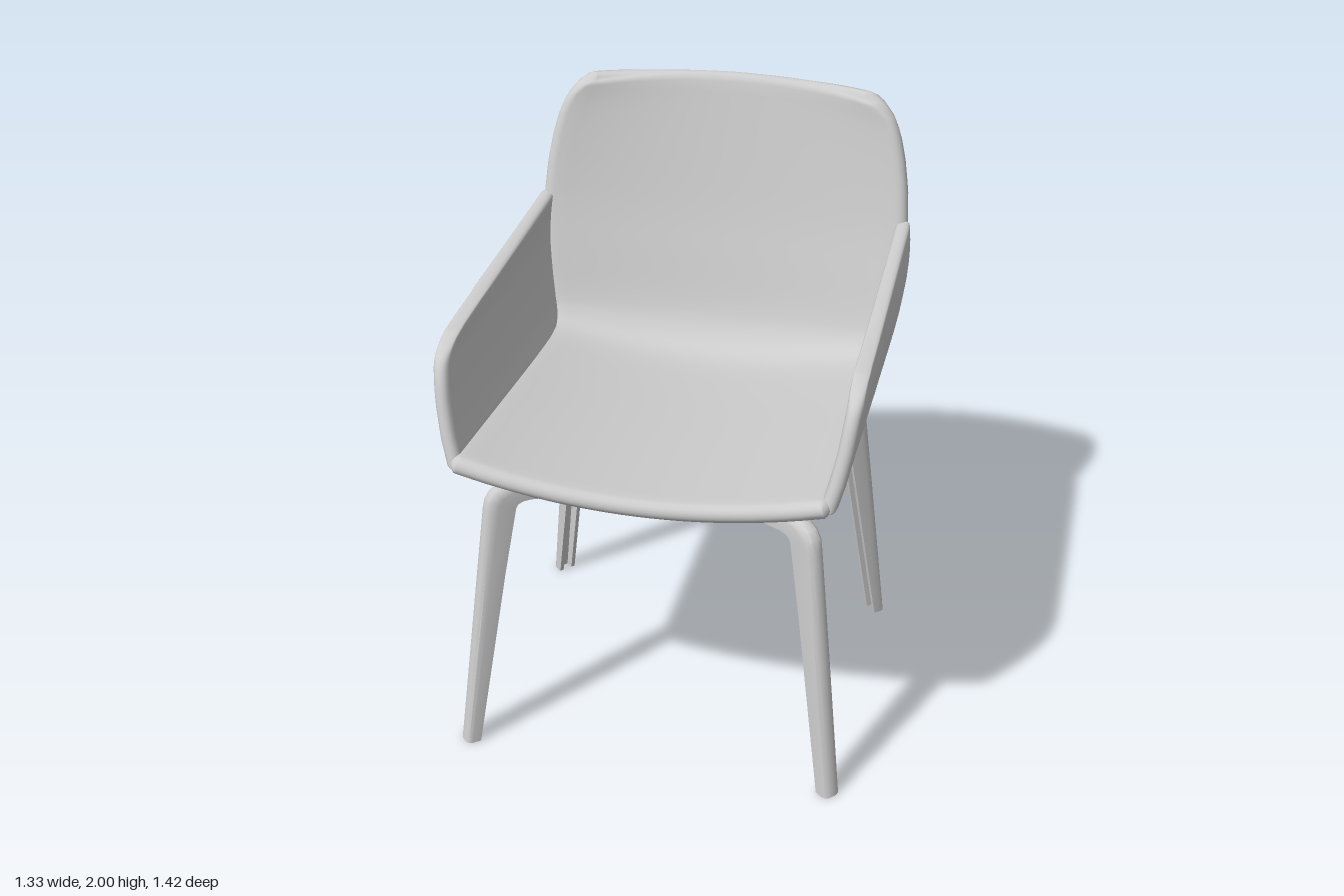
import * as THREE from 'three';
import { mergeVertices, toCreasedNormals } from 'three/addons/utils/BufferGeometryUtils.js';

const V2 = (p) => new THREE.Vector2(p[0], p[1]);
const spline = (pts) => new THREE.SplineCurve(pts.map(V2));

// Linear look-up in a table of [position, value]
function lookup(table, u) {
  let i = 1;
  while (i < table.length - 1 && u > table[i][0]) i++;
  const [a, va] = table[i - 1], [b, vb] = table[i];
  return va + (vb - va) * (u - a) / (b - a);
}

// Parameter steps, packed close together within r of both ends
function steps(length, r, n) {
  const edge = [0, 0.05, 0.2, 0.5, 1].map((k) => k * r / length);
  const inner = [];
  for (let i = 1; i < n; i++) inner.push(edge[4] + (1 - 2 * edge[4]) * i / n);
  return [...edge, ...inner, ...edge.map((e) => 1 - e).reverse()];
}

// Padded sheet with round edges, built around the middle surface point(u, v)
function slab(point, lu, lv, nu, nv, h) {
  const us = steps(lu, h, nu), vs = steps(lv, h, nv);
  const pos = [], index = [], e = 0.002;
  for (const side of [1, -1]) {
    const base = pos.length / 3;
    us.forEach((u, i) => vs.forEach((v, j) => {
      const u0 = Math.max(0, u - e), u1 = Math.min(1, u + e);
      const v0 = Math.max(0, v - e), v1 = Math.min(1, v + e);
      const du = point(u1, v).sub(point(u0, v));
      const dv = point(u, v1).sub(point(u, v0));
      const n = du.cross(dv).normalize();
      const d = Math.max(0, Math.min(u * lu, (1 - u) * lu, v * lv, (1 - v) * lv, h));
      const p = point(u, v).addScaledVector(n, side * Math.sqrt(h * h - (h - d) ** 2));
      pos.push(p.x, p.y, p.z);
      if (!i || !j) return;
      const c = base + i * vs.length + j, b = c - vs.length, a = b - 1, f = c - 1;
      if (side > 0) index.push(a, f, c, a, c, b);
      else index.push(a, c, f, a, b, c);
    }));
  }
  let g = new THREE.BufferGeometry();
  g.setAttribute('position', new THREE.Float32BufferAttribute(pos, 3));
  g.setIndex(index);
  g = mergeVertices(g, 1e-5);
  g.computeVertexNormals();
  return g;
}

// Seat and back: one sheet following a side profile (z, y), dished across its width
function shellGeometry() {
  const profile = spline([[0.71, 1.05], [0.3, 1.035], [-0.1, 1.022], [-0.31, 1.025], [-0.41, 1.058],
    [-0.47, 1.12], [-0.505, 1.2], [-0.55, 1.37], [-0.6, 1.57], [-0.69, 2.0]]);
  profile.arcLengthDivisions = 600;
  const width = [[0, 0.575], [0.008, 0.592], [0.02, 0.6], [0.48, 0.6], [0.6, 0.625], [0.72, 0.647],
    [0.79, 0.65], [0.85, 0.64], [0.9, 0.622], [0.94, 0.6], [0.965, 0.576], [0.983, 0.545], [0.994, 0.51], [1, 0.47]];
  return slab((u, v) => {
    const a = 1 - 2 * v;
    const s = u * (1 - 0.017 * a * a);
    const c = profile.getPointAt(s), t = profile.getTangentAt(s);
    const lift = 0.08 * a * a;
    return new THREE.Vector3(a * lookup(width, u), c.y - t.x * lift, c.x + t.y * lift);
  }, 2.06, 1.2, 56, 24, 0.031);
}

// Armrest panel: ruled from its front edge to its back edge, leaning outward
function armGeometry(side) {
  const front = spline([[0.69, 1.11], [0.66, 1.25], [0.625, 1.38], [0.58, 1.445], [0.48, 1.482]]);
  const back = spline([[-0.3, 1.1], [-0.4, 1.15], [-0.44, 1.23], [-0.495, 1.47], [-0.515, 1.575]]);
  const lean = [[1.05, 0.57], [1.1, 0.583], [1.2, 0.61], [1.3, 0.628], [1.42, 0.642], [1.5, 0.642], [1.6, 0.633]];
  return slab((u, v) => {
    const p = front.getPoint(v).lerp(back.getPoint(v), u);
    return new THREE.Vector3(side * lookup(lean, p.y), p.y, p.x);
  }, 1.08, 0.45, 24, 16, 0.025);
}

// Leg: bent bar from hub to floor, round outside, with a channel along the inside
function legGeometry(sx, sz) {
  // outer x, y, inner x, y, channel depth
  const stations = [
    [0, 0.93, 0, 0.845, 0], [0.1, 0.932, 0.1, 0.848, 0], [0.2, 0.938, 0.2, 0.856, 0], [0.3, 0.949, 0.3, 0.87, 0],
    [0.4, 0.963, 0.38, 0.887, 0], [0.455, 0.969, 0.43, 0.899, 0], [0.495, 0.965, 0.452, 0.9, 0],
    [0.525, 0.948, 0.466, 0.893, 0.1], [0.54, 0.92, 0.472, 0.88, 0.3], [0.546, 0.885, 0.476, 0.855, 0.6],
    [0.57, 0.66, 0.51, 0.64, 0.6], [0.64, 0, 0.603, 0, 0.6]];
  const section = (g) => [[-1, 1], [-1, 0.4], [-0.87, 0.17], [-0.5, 0.03], [0, 0], [0.5, 0.03], [0.87, 0.17],
    [1, 0.4], [1, 1], [0.55, 1], [0.55, 1 - g], [-0.55, 1 - g], [-0.55, 1]];
  const flip = sx * sz < 0, pos = [], index = [], half = 0.033;
  const tri = (a, b, c) => index.push(a, flip ? c : b, flip ? b : c);
  const n = section(0).length;
  stations.forEach(([ox, oy, ix, iy, g], k) => {
    section(g).forEach(([w, t], j) => {
      const q = (ox + (ix - ox) * t) / 0.62;
      pos.push(sx * (0.62 * q + w * half * 0.66), oy + (iy - oy) * t, 0.07 + sz * (0.55 * q - w * half * 0.75));
      if (!k) return;
      const a = (k - 1) * n + j, b = (k - 1) * n + (j + 1) % n;
      tri(a, b, b + n);
      tri(a, b + n, a + n);
    });
  });
  // foot cap
  const base = (stations.length - 1) * n;
  const end = section(0.6).map(V2);
  for (const [a, b, c] of THREE.ShapeUtils.triangulateShape(end, [])) {
    // the cap must face the floor whatever order the triangulation gives
    const P = [a, b, c].map((i) => [pos[(base + i) * 3], pos[(base + i) * 3 + 2]]);
    const turn = (P[1][0] - P[0][0]) * (P[2][1] - P[0][1]) - (P[1][1] - P[0][1]) * (P[2][0] - P[0][0]);
    if (turn > 0) index.push(base + a, base + b, base + c);
    else index.push(base + a, base + c, base + b);
  }
  const g = new THREE.BufferGeometry();
  g.setAttribute('position', new THREE.Float32BufferAttribute(pos, 3));
  g.setIndex(index);
  return toCreasedNormals(g, 0.7);
}

export function createModel() {
  const group = new THREE.Group();
  group.name = 'armchair';
  const grey = new THREE.MeshStandardMaterial({ color: 0xcccccc, side: THREE.DoubleSide });
  grey.name = 'light grey';
  const add = (name, geometry) => {
    const mesh = new THREE.Mesh(geometry, grey);
    mesh.name = name;
    group.add(mesh);
    return mesh;
  };

  add('seatShell', shellGeometry());
  add('leftArmrest', armGeometry(1));
  add('rightArmrest', armGeometry(-1));

  // swivel post between legs and seat
  add('post', new THREE.CylinderGeometry(0.062, 0.062, 0.17, 32)).position.set(0, 0.93, 0.07);

  for (const sx of [1, -1]) {
    for (const sz of [1, -1]) {
      add((sz > 0 ? 'front' : 'back') + (sx > 0 ? 'Left' : 'Right') + 'Leg', legGeometry(sx, sz));
    }
  }
  return group;
}
